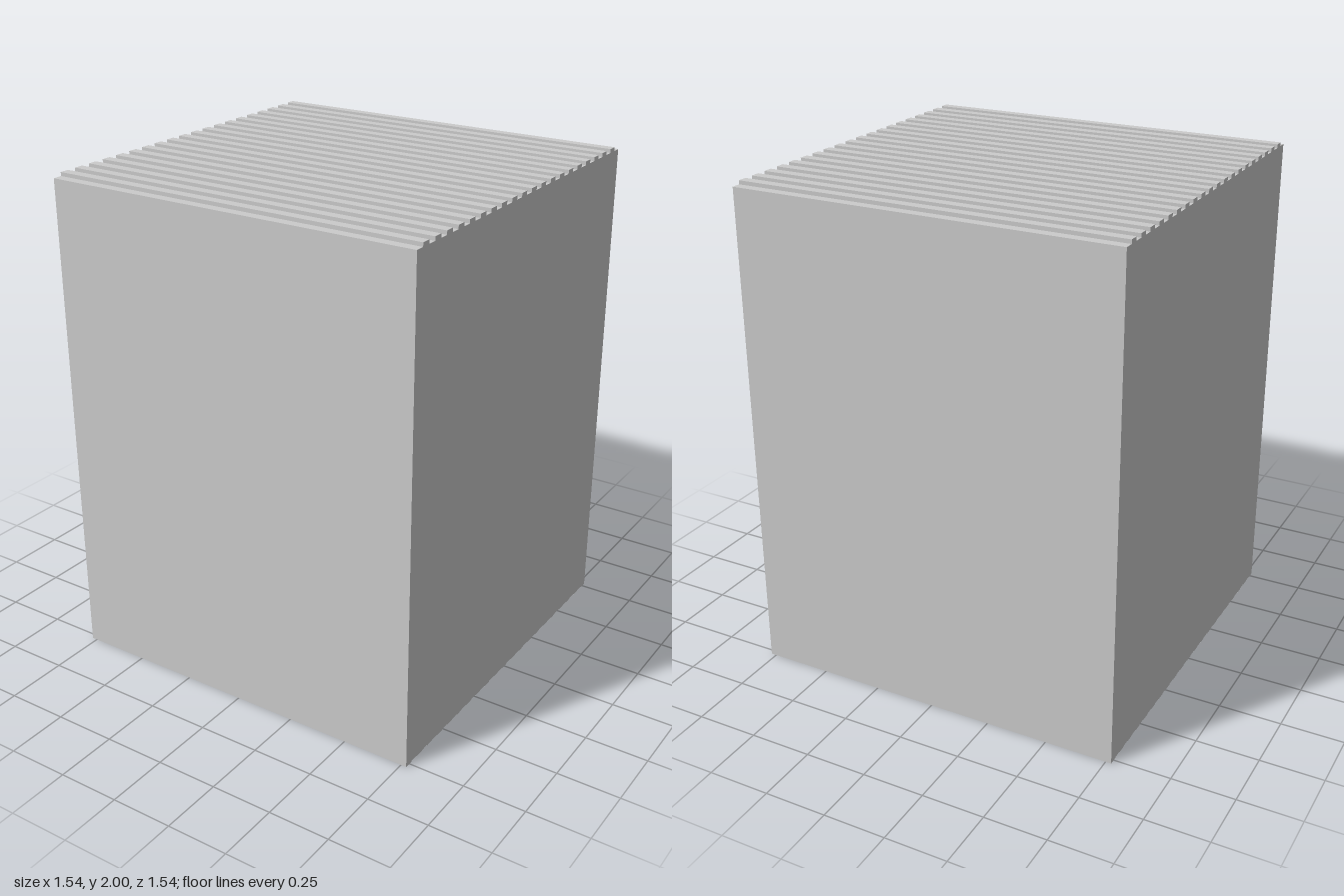
import * as THREE from 'three';

const WIDTH = 1.545;        // x and z size
const STRIPS = 41;          // alternating low and raised strips
const TOP = 2, TOP_LOW = 1.985;
const GROOVE = 0.003;       // shallow grooves on the underside

export function createModel() {
  const group = new THREE.Group();
  group.name = 'ribbedBlock';
  const material = new THREE.MeshStandardMaterial({ color: 0xcccccc, flatShading: true });

  // Side profile: stepped underside from back to front, ribbed top on the way back
  const edge = i => -WIDTH / 2 + (i * WIDTH) / STRIPS;
  const points = [];
  for (let i = 0; i < STRIPS; i++) {
    const y = i % 2 ? GROOVE : 0;
    points.push(new THREE.Vector2(edge(i), y), new THREE.Vector2(edge(i + 1), y));
  }
  for (let i = STRIPS - 1; i >= 0; i--) {
    const y = i % 2 ? TOP : TOP_LOW;
    points.push(new THREE.Vector2(edge(i + 1), y), new THREE.Vector2(edge(i), y));
  }

  // Extrude across the width and turn so the ribs run along x
  const geometry = new THREE.ExtrudeGeometry(new THREE.Shape(points), {
    depth: WIDTH, bevelEnabled: false,
  });
  geometry.translate(0, 0, -WIDTH / 2);
  geometry.rotateY(-Math.PI / 2);

  const block = new THREE.Mesh(geometry, material);
  block.name = 'blockWithRibs';
  group.add(block);
  return group;
}
